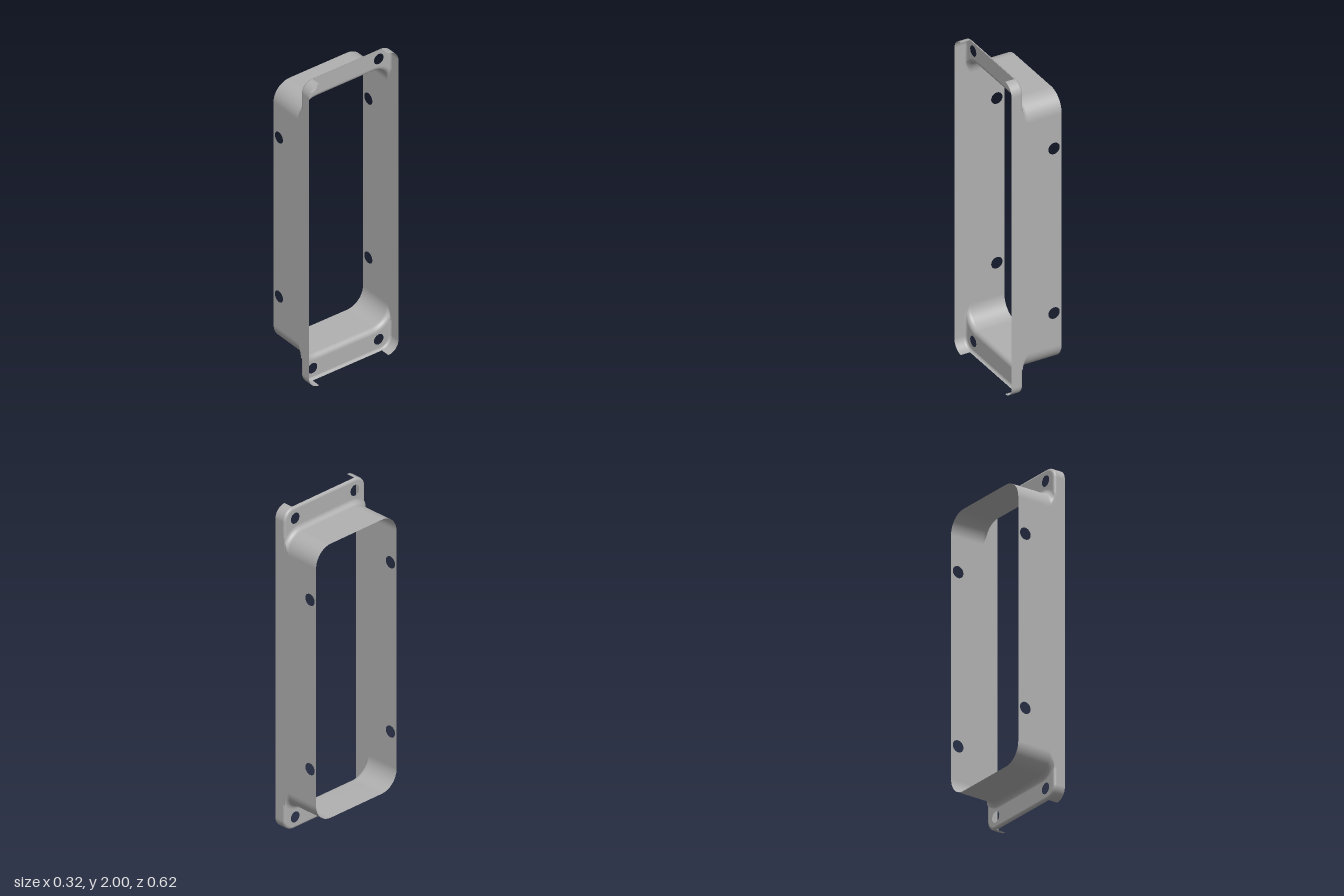
import * as THREE from 'three';

const W = 0.31;                     // half width (z)
const BACK = -0.16, FRONT = 0.158;  // sheet extent (x)
const FLANGE_X = 0.085, FILLET = 0.03, BEND = 0.015;
const SLEEVE_Z = 0.197, SLEEVE_Y = 0.74, SLEEVE_R = 0.113; // sleeve corner centre and radius
const RIM_Z = 0.24, RIM_Y = 0.93, RIM_R = 0.07;            // rim corner centre and radius

// Points [z, y] along an arc
function arc(cz, cy, r, a0, a1, n = 16) {
  return Array.from({ length: n + 1 }, (_, i) => {
    const a = a0 + (a1 - a0) * i / n;
    return [cz + r * Math.cos(a), cy + r * Math.sin(a)];
  });
}

// Smooth sheet through rows of equally many [x, y, z] points
function loft(rows) {
  const n = rows[0].length, index = [];
  for (let j = 0; j < rows.length - 1; j++) {
    for (let i = 0; i < n - 1; i++) {
      const a = j * n + i, b = a + n;
      index.push(a, a + 1, b, a + 1, b + 1, b);
    }
  }
  const g = new THREE.BufferGeometry();
  g.setAttribute('position', new THREE.Float32BufferAttribute(rows.flat(2), 3));
  g.setIndex(index);
  g.computeVertexNormals();
  return g;
}

const place = (path, x) => path.map(([z, y]) => [x, y, z]);

function punch(shape, u, v, r) {
  const hole = new THREE.Path();
  hole.absarc(u, v, r, 0, Math.PI * 2, true);
  shape.holes.push(hole);
}

// Arch of the sleeve end, widened by off but trimmed to the side planes
function sleevePath(off) {
  const r = SLEEVE_R + off;
  return [
    ...arc(SLEEVE_Z, SLEEVE_Y, r, 0, Math.PI / 2, 24),
    ...arc(-SLEEVE_Z, SLEEVE_Y, r, Math.PI / 2, Math.PI, 24),
  ].map(([z, y]) => [THREE.MathUtils.clamp(z, -W, W), y]);
}

// One half of the outer rim, from the side up around the corner
function rimSide(inset, sign) {
  const pts = [[W, SLEEVE_Y], [W, 0.825], [W - inset, 0.835],
    ...arc(RIM_Z, RIM_Y, RIM_R - inset, 0, Math.PI / 2, 12)];
  return pts.map(([z, y]) => [z * sign, y]);
}

export function createModel() {
  const model = new THREE.Group();
  model.name = 'mountingFrame';
  const steel = new THREE.MeshStandardMaterial({ color: 0xb0b0b0, side: THREE.DoubleSide });
  steel.name = 'grey sheet metal';

  const add = (parent, name, geometry) => {
    const mesh = new THREE.Mesh(geometry, steel);
    mesh.name = name;
    parent.add(mesh);
    return mesh;
  };

  // Flat side walls with two screw holes each
  for (const sign of [1, -1]) {
    const s = new THREE.Shape();
    s.moveTo(BACK, -SLEEVE_Y);
    s.lineTo(FRONT, -SLEEVE_Y);
    s.lineTo(FRONT, SLEEVE_Y);
    s.lineTo(BACK, SLEEVE_Y);
    for (const y of [-0.527, 0.527]) punch(s, -0.112, y, 0.036);
    const wall = add(model, sign > 0 ? 'leftWall' : 'rightWall', new THREE.ShapeGeometry(s, 16));
    wall.position.set(0, 1, sign * W);
  }

  // The two ends are the same, turned half round
  for (const name of ['topEnd', 'bottomEnd']) {
    const end = new THREE.Group();
    end.name = name;
    end.position.y = 1;
    if (name === 'bottomEnd') end.rotation.x = Math.PI;
    model.add(end);

    // Sleeve end flaring through a fillet into the flange
    const sleeve = [place(sleevePath(0), BACK)];
    for (let i = 0; i <= 8; i++) {
      const t = i / 8 * Math.PI / 2;
      sleeve.push(place(sleevePath(FILLET * (1 - Math.cos(t))),
        FLANGE_X - FILLET + FILLET * Math.sin(t)));
    }
    add(end, 'sleeveEnd', loft(sleeve));

    // Flange plate with two mounting holes
    const r = SLEEVE_R + FILLET, edge = Math.acos((W - SLEEVE_Z) / r);
    const outline = [
      ...arc(SLEEVE_Z, SLEEVE_Y, r, Math.PI / 2, edge),
      [W - BEND, 0.845],
      ...arc(RIM_Z, RIM_Y, RIM_R - BEND, 0, Math.PI / 2),
      ...arc(-RIM_Z, RIM_Y, RIM_R - BEND, Math.PI / 2, Math.PI),
      [BEND - W, 0.845],
      ...arc(-SLEEVE_Z, SLEEVE_Y, r, Math.PI - edge, Math.PI / 2),
    ];
    const plate = new THREE.Shape(outline.map(([z, y]) => new THREE.Vector2(z, y)));
    for (const z of [-0.23, 0.23]) punch(plate, z, RIM_Y, 0.033);
    const flange = add(end, 'flange', new THREE.ShapeGeometry(plate, 16));
    flange.rotation.y = -Math.PI / 2;
    flange.position.x = FLANGE_X;

    // Small bend along the flange edge
    const bend = [];
    for (let i = 0; i <= 5; i++) {
      const t = i / 5 * Math.PI / 2, inset = BEND * (1 - Math.sin(t));
      bend.push(place([...rimSide(inset, 1), ...rimSide(inset, -1).reverse()],
        FLANGE_X + BEND * (1 - Math.cos(t))));
    }
    add(end, 'flangeBend', loft(bend));

    // Lips wrapping the two corners
    for (const sign of [1, -1]) {
      const path = rimSide(0, sign);
      add(end, 'cornerLip', loft([place(path, FLANGE_X + BEND), place(path, FRONT)]));
    }
  }
  return model;
}
